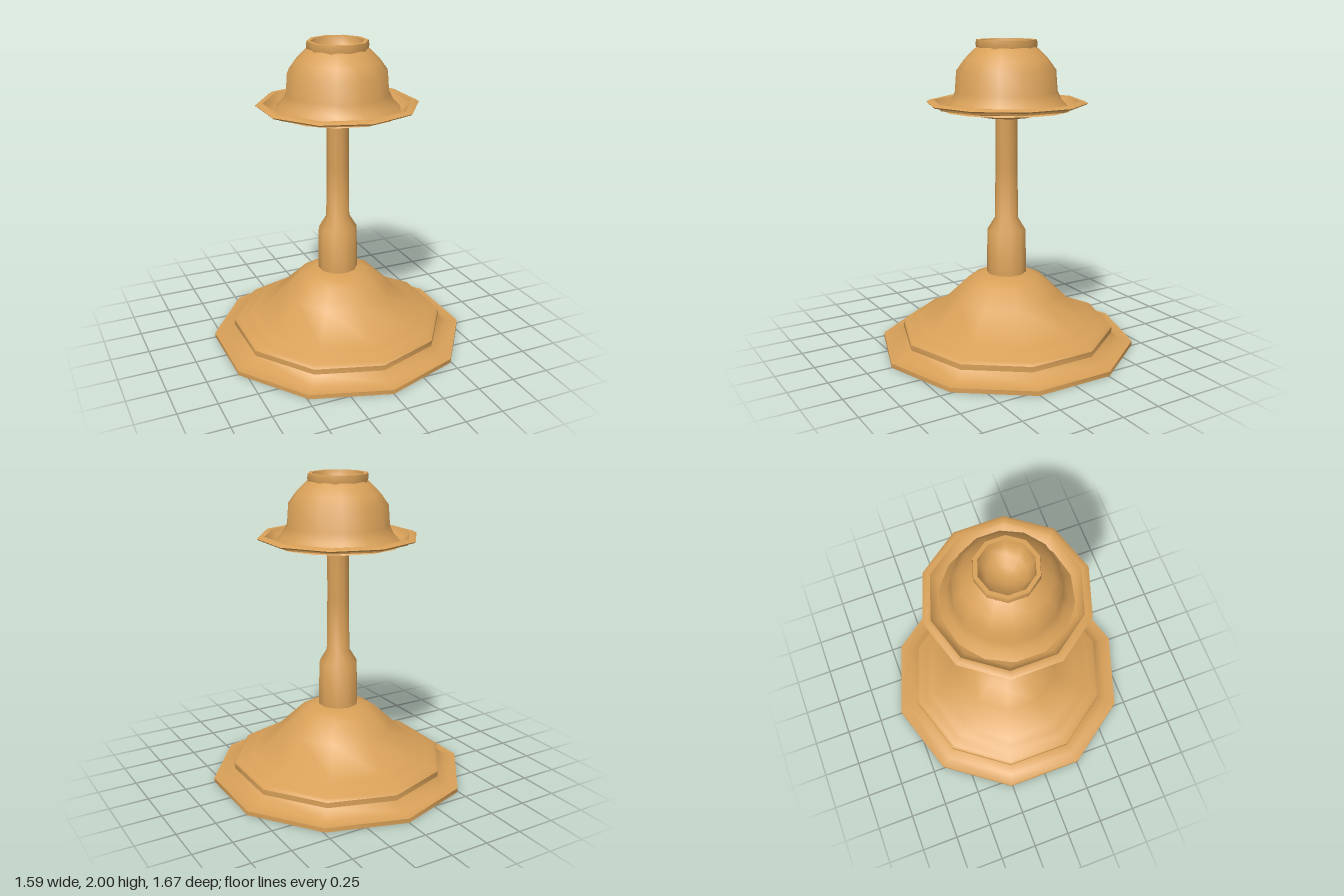
import * as THREE from 'three';
import { toCreasedNormals } from 'three/addons/utils/BufferGeometryUtils.js';

const brass = new THREE.MeshStandardMaterial({ color: 0xd8a058 });
brass.name = 'brass';

// Turned part from [radius, height] pairs, listed from the underside up and over
function turned(name, sides, profile) {
  const points = profile.map(([r, y]) => new THREE.Vector2(r, y));
  const geometry = toCreasedNormals(new THREE.LatheGeometry(points, sides), 0.8);
  const mesh = new THREE.Mesh(geometry, brass);
  mesh.name = name;
  return mesh;
}

export function createModel() {
  const model = new THREE.Group();
  model.name = 'candlestick';

  // Stepped ten-sided foot
  model.add(turned('base', 10, [
    [0, 0], [0.837, 0], [0.837, 0.028], [0.76, 0.03], [0.7, 0.085], [0.7, 0.12],
    [0.68, 0.138], [0.63, 0.142], [0.585, 0.178], [0.53, 0.182],
    [0.36, 0.345], [0.25, 0.45], [0.19, 0.477], [0.125, 0.495], [0, 0.495],
  ]));

  // Thick collar tapering into the slender stem
  model.add(turned('stem', 10, [
    [0.13, 0.48], [0.125, 0.78], [0.076, 0.86], [0.071, 1.2], [0.07, 1.54],
  ]));

  // Drip pan with a lipped rim and a hollow top
  model.add(turned('dripPan', 10, [
    [0, 1.524], [0.175, 1.524], [0.23, 1.545], [0.43, 1.578], [0.46, 1.582],
    [0.465, 1.597], [0.505, 1.6], [0.513, 1.608], [0.49, 1.622], [0.465, 1.62],
    [0.455, 1.605], [0.42, 1.575], [0.2, 1.55], [0, 1.55],
  ]));

  // Bell-shaped cup
  model.add(turned('cup', 14, [
    [0.41, 1.565], [0.356, 1.62], [0.325, 1.68], [0.315, 1.81],
    [0.265, 1.88], [0.205, 1.94], [0.185, 1.955],
  ]));

  // Mouth of the cup and its bowl
  model.add(turned('candleSocket', 10, [
    [0.188, 1.94], [0.194, 1.97], [0.19, 2], [0.165, 2],
    [0.155, 1.95], [0.12, 1.9], [0.06, 1.87], [0, 1.86],
  ]));

  return model;
}
